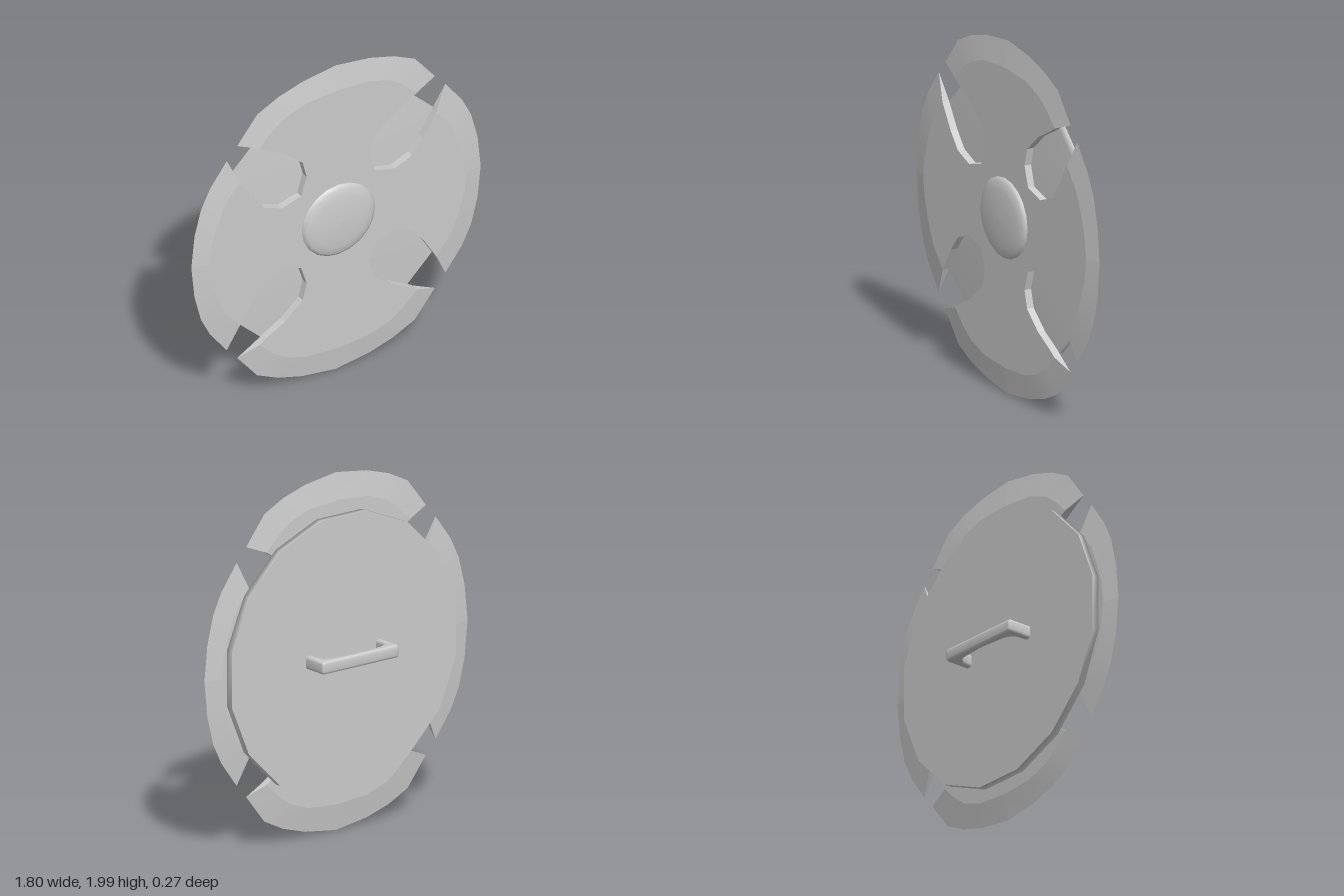
import * as THREE from 'three';
import { toCreasedNormals } from 'three/addons/utils/BufferGeometryUtils.js';

const CY = 1.005, FRONT = 0.097, BACK = 0.055, MID = 0.076;

// One quadrant (upper, +x), relative to the centre, clockwise from the top.
const topInner = [[0, .845], [.2, .83], [.33, .785], [.41, .725], [.49, .645]];
const topOuter = [[0, .995], [.21, .965], [.36, .92], [.49, .855], [.615, .695]];
const slot = [[.445, .615], [.33, .55], [.22, .45], [.195, .35], [.23, .235], [.35, .2], [.46, .245], [.53, .335]];
const sideInner = [[.61, .47], [.70, .36], [.75, .24], [.785, .12], [.8, 0]];
const sideOuter = [[.68, .62], [.785, .475], [.84, .36], [.88, .2], [.9, 0]];

const material = () => new THREE.MeshStandardMaterial({ color: 0xcccccc });

function add(parent, name, geometry) {
  const mesh = new THREE.Mesh(geometry, material());
  mesh.name = name;
  parent.add(mesh);
  return mesh;
}

// Sharpened edge strip, mirrored into a quadrant; the slot end gets a cap.
function bevel(inner, outer, capIndex, sx, sy) {
  const pos = [];
  const tri = (a, b, c) => {
    for (const p of sx * sy > 0 ? [a, b, c] : [a, c, b]) pos.push(p[0] * sx, p[1] * sy, p[2]);
  };
  const at = (p, z) => [p[0], p[1], z];
  for (let i = 0; i < inner.length - 1; i++) {
    const o0 = at(outer[i], MID), o1 = at(outer[i + 1], MID);
    const f0 = at(inner[i], FRONT), f1 = at(inner[i + 1], FRONT);
    const b0 = at(inner[i], BACK), b1 = at(inner[i + 1], BACK);
    tri(f0, f1, o1); tri(f0, o1, o0);
    tri(b0, o1, b1); tri(b0, o0, o1);
  }
  const f = at(inner[capIndex], FRONT), b = at(inner[capIndex], BACK), o = at(outer[capIndex], MID);
  if (capIndex > 0) tri(f, b, o); else tri(f, o, b);
  const g = new THREE.BufferGeometry();
  g.setAttribute('position', new THREE.Float32BufferAttribute(pos, 3));
  return toCreasedNormals(g, 0.3);
}

export function createModel() {
  const model = new THREE.Group();
  model.name = 'shield';
  const shield = new THREE.Group();
  shield.name = 'shieldBody';
  shield.position.y = CY;
  model.add(shield);

  // Flat cross-shaped face plate with four slots
  const quad = [...topInner, ...slot, ...sideInner];
  const mirror = (pts, sx, sy) => pts.map(([x, y]) => [x * sx, y * sy]);
  const rev = [...quad].reverse();
  const loop = [
    ...quad, ...mirror(rev, 1, -1).slice(1),
    ...mirror(quad, -1, -1).slice(1), ...mirror(rev, -1, 1).slice(1, -1),
  ];
  const plate = new THREE.ExtrudeGeometry(
    new THREE.Shape(loop.map(([x, y]) => new THREE.Vector2(x, y))),
    { depth: FRONT - BACK, bevelEnabled: false });
  plate.translate(0, 0, BACK);
  add(shield, 'facePlate', plate);

  // Sharpened outer edges
  for (const sx of [1, -1]) for (const sy of [1, -1]) {
    const n = (sy > 0 ? 'upper' : 'lower') + (sx > 0 ? 'Left' : 'Right');
    add(shield, n + 'EndEdge', bevel(topInner, topOuter, topInner.length - 1, sx, sy));
    add(shield, n + 'SideEdge', bevel(sideInner, sideOuter, 0, sx, sy));
  }

  // Backing disc: softly shaded front and rim, flat back
  const R = 0.783, turn = Math.PI / 16;
  const rim = new THREE.LatheGeometry(
    [[R, 0.008], [R, 0.05], [0, 0.062]].map(([r, z]) => new THREE.Vector2(r, z)), 16);
  rim.rotateX(Math.PI / 2).rotateZ(turn);
  add(shield, 'backingDisc', rim);
  const back = new THREE.CircleGeometry(R, 16);
  back.rotateY(Math.PI).rotateZ(turn).translate(0, 0, 0.008);
  add(shield, 'backingDiscRear', back);

  // Central boss
  const boss = new THREE.LatheGeometry(
    [[.225, .09], [.225, .104], [.205, .118], [.16, .128], [.08, .134], [0, .136]]
      .map(([r, z]) => new THREE.Vector2(r, z)), 20);
  boss.rotateX(Math.PI / 2);
  add(shield, 'boss', boss);

  // Rear handle, drawn as an arch and extruded with rounded edges
  const arch = new THREE.Shape();
  arch.moveTo(.26, -.02);
  arch.lineTo(.26, .125);
  arch.quadraticCurveTo(.26, .138, .245, .138);
  arch.lineTo(-.245, .138);
  arch.quadraticCurveTo(-.26, .138, -.26, .125);
  arch.lineTo(-.26, -.02);
  for (const [x, d] of [[-.218, -.02], [-.218, .045], [-.2, .075], [-.165, .09], [0, .103],
    [.165, .09], [.2, .075], [.218, .045], [.218, -.02]]) arch.lineTo(x, d);
  const grip = new THREE.ExtrudeGeometry(arch, {
    depth: 0.04, bevelSize: 0.014, bevelOffset: -0.014, bevelThickness: 0.016, bevelSegments: 3, curveSegments: 4,
  });
  grip.translate(0, 0, -0.02).rotateX(-Math.PI / 2);
  add(shield, 'handle', toCreasedNormals(grip, 0.9));

  return model;
}
